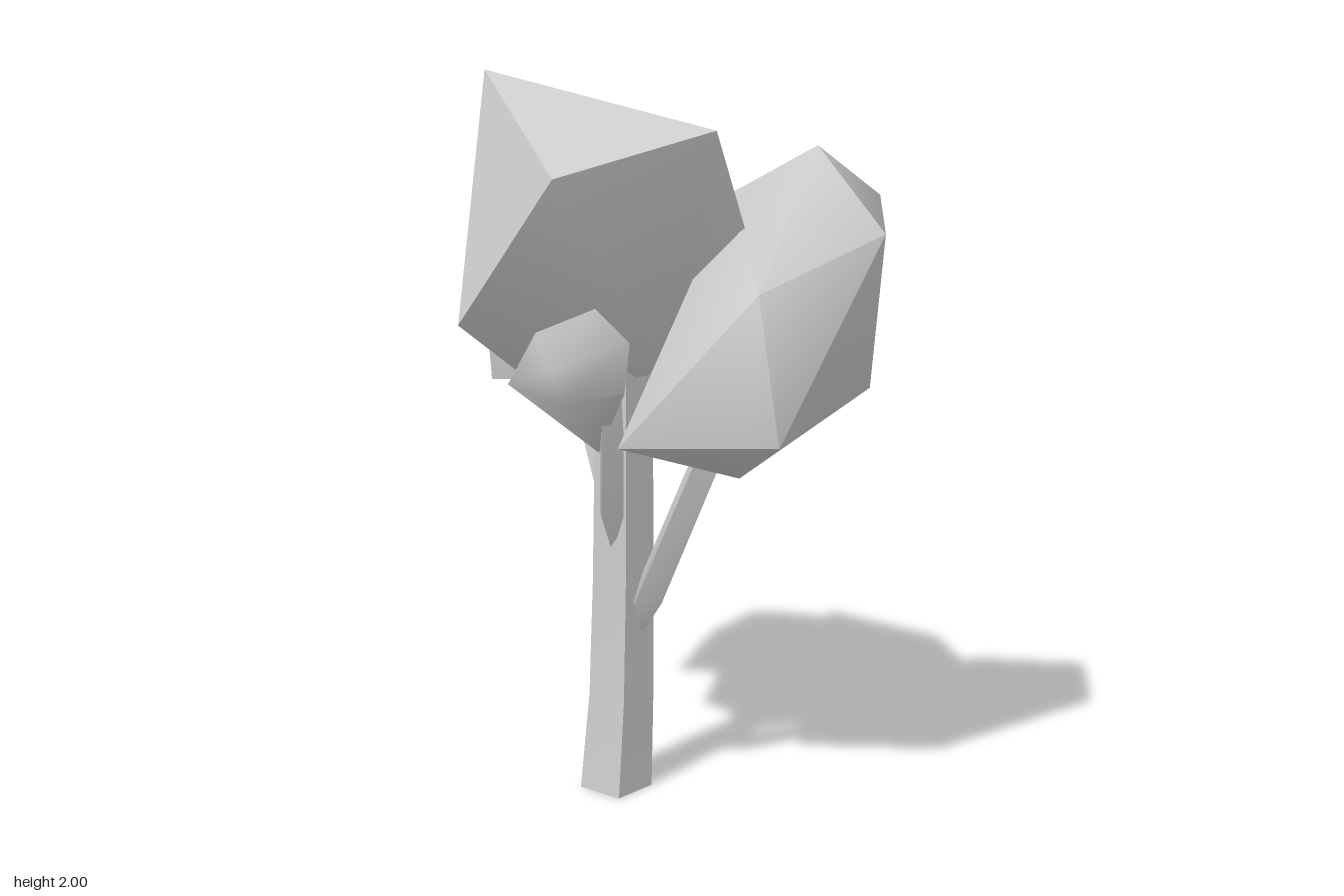
import * as THREE from 'three';
import { ConvexGeometry } from 'three/addons/geometries/ConvexGeometry.js';
import { toCreasedNormals } from 'three/addons/utils/BufferGeometryUtils.js';

const material = new THREE.MeshStandardMaterial({ color: 0xcccccc });

// Faceted leaf mass: convex hull of its corner points, soft over shallow edges
function clump(name, crease, corners) {
  const hull = new ConvexGeometry(corners.map((c) => new THREE.Vector3(...c)));
  const mesh = new THREE.Mesh(toCreasedNormals(hull, crease), material);
  mesh.name = name;
  return mesh;
}

// Four-sided limb lofted through sections [x, y, z, radius], turned by an angle
function limb(name, turn, sections) {
  const positions = [];
  const index = [];
  sections.forEach(([x, y, z, r], i) => {
    for (let k = 0; k < 4; k++) {
      const a = turn + (k * Math.PI) / 2;
      positions.push(x + r * Math.cos(a), y, z + r * Math.sin(a));
      if (i === sections.length - 1) continue;
      const p = i * 4 + k;
      const q = i * 4 + ((k + 1) % 4);
      index.push(p, p + 4, q, q, p + 4, q + 4);
    }
  });
  const top = (sections.length - 1) * 4;
  index.push(0, 1, 2, 0, 2, 3, top, top + 2, top + 1, top, top + 3, top + 2);
  const geometry = new THREE.BufferGeometry();
  geometry.setAttribute('position', new THREE.Float32BufferAttribute(positions, 3));
  geometry.setIndex(index);
  const mesh = new THREE.Mesh(toCreasedNormals(geometry, 0.6), material);
  mesh.name = name;
  return mesh;
}

export function createModel() {
  const tree = new THREE.Group();
  tree.name = 'tree';

  // Square trunk and the diamond-section branches that fork from it
  tree.add(
    limb('trunk', Math.PI / 4, [
      [-0.045, 0, 0.04, 0.1],
      [-0.045, 0.27, 0.017, 0.09],
      [-0.045, 0.6, 0.008, 0.085],
      [-0.04, 1.3, 0.01, 0.077],
    ]),
    limb('leftBranch', 0, [
      [0.015, 0.46, 0, 0.006],
      [0.035, 0.55, 0.003, 0.053],
      [0.21, 0.97, -0.04, 0.05],
      [0.26, 1.08, -0.05, 0.045],
    ]),
    limb('rightBranch', 0, [
      [-0.1, 0.74, 0, 0.006],
      [-0.125, 0.86, -0.005, 0.04],
      [-0.25, 1.12, -0.04, 0.038],
      [-0.31, 1.24, -0.06, 0.034],
    ]),
    limb('frontBranch', 0, [
      [-0.04, 0.7, 0.06, 0.006],
      [-0.025, 0.8, 0.08, 0.042],
      [0.045, 1.04, 0.16, 0.042],
      [0.075, 1.15, 0.195, 0.036],
    ]),
  );

  // Leaf masses
  tree.add(
    clump('mainFoliage', 0.75, [
      [-0.3, 2, 0.27], [0.37, 1.865, 0.13], [-0.04, 1.69, -0.34], [-0.47, 1.815, -0.245],
      [0.07, 1.745, 0.415], [-0.22, 1.35, 0.465], [-0.48, 1.46, 0.08], [0.34, 1.6, -0.03],
      [0.14, 1.47, -0.28], [0.08, 1.3, -0.24], [-0.06, 1.25, -0.19], [0.1, 1.2, 0],
      [-0.24, 1.11, 0.1],
    ]),
    clump('leftFoliage', 1, [
      [0.43, 1.81, -0.22], [0.7, 1.605, -0.145], [0.5, 1.67, -0.41], [0.23, 1.68, -0.11],
      [0.5, 1.46, 0.12], [0.2, 1.055, 0.315], [0.545, 1.065, 0.085], [0.29, 0.92, -0.08],
      [0.47, 1.14, -0.425], [0.22, 1.13, -0.43], [0.245, 1.3, -0.44], [0.2, 1.52, -0.37],
      [0.09, 1.4, -0.31], [-0.05, 1.08, -0.15],
    ]),
    clump('rightFoliage', 0.9, [
      [-0.705, 1.612, -0.23], [-0.69, 1.255, -0.26], [-0.54, 1.51, 0.05], [-0.52, 1.11, 0.03],
      [-0.585, 1.43, -0.465], [-0.4, 1.59, -0.38], [-0.24, 1.44, -0.41], [-0.17, 1.4, -0.31],
      [-0.2, 1.26, -0.36], [-0.2, 1.3, -0.05], [-0.22, 1.12, -0.1],
    ]),
    clump('frontFoliage', 1, [
      [0.12, 1.41, 0.31], [0.185, 1.32, 0.25], [-0.07, 1.33, 0.33], [-0.21, 1.17, 0.29],
      [0, 0.99, 0.16], [0.15, 1.18, 0.23], [0.01, 1.24, 0.36], [0.02, 1.15, 0.335],
      [-0.05, 1.3, 0.13], [0.08, 1.09, 0.2],
    ]),
  );
  return tree;
}
